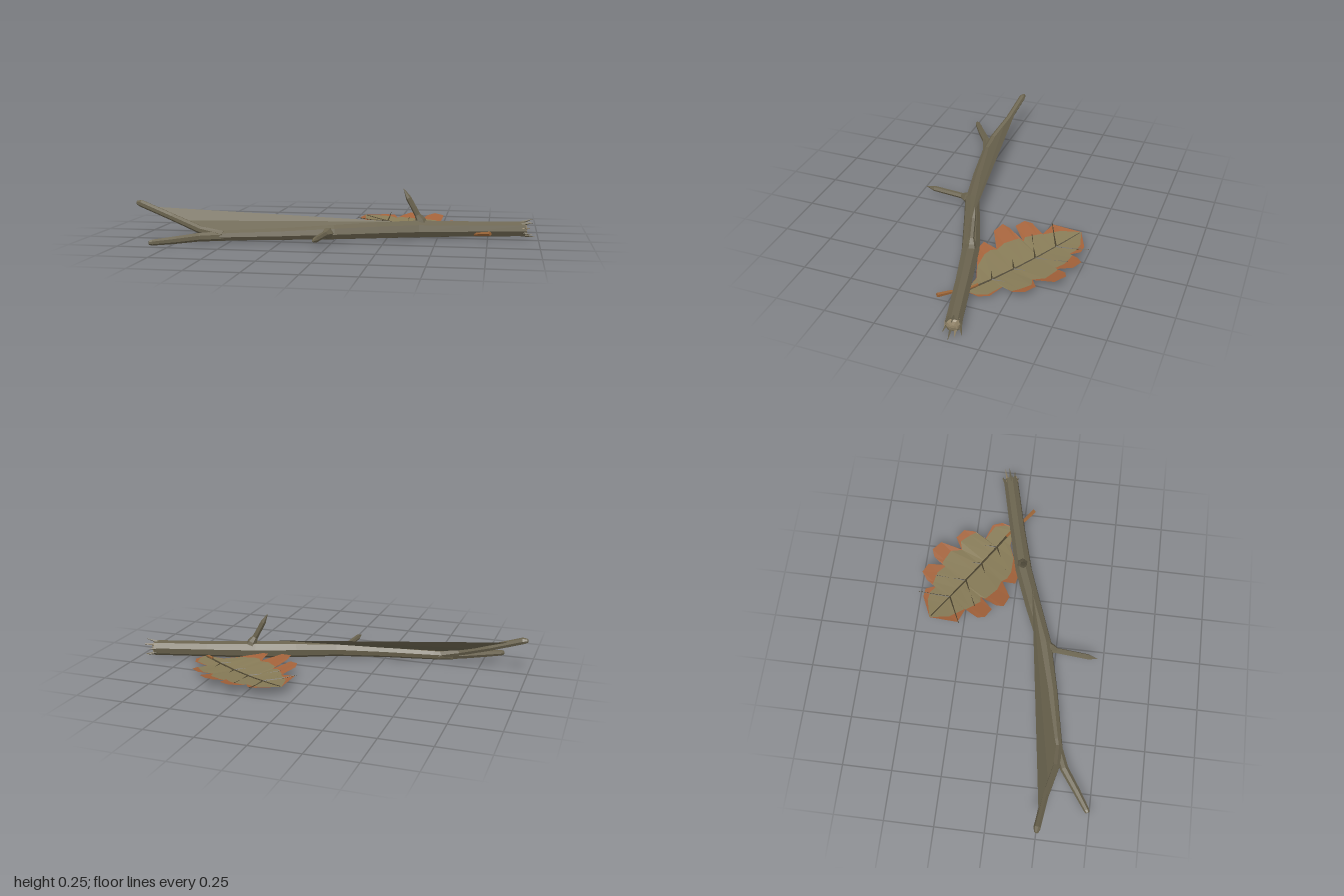
import * as THREE from 'three';

const mat = (name, color, side = THREE.FrontSide) => {
  const m = new THREE.MeshStandardMaterial({ color, side });
  m.name = name;
  return m;
};
const V = (p) => new THREE.Vector3(...p);

// faceted geometry from a list of triangles, three points each
function facets(points) {
  const g = new THREE.BufferGeometry().setFromPoints(points);
  g.computeVertexNormals();
  return g;
}

// faceted limb: stations are [x, y, z, radius]; caps close both ends
function limb(stations, sides = 7, roll = 0) {
  const c = stations.map((s) => V(s.slice(0, 3)));
  const last = c.length - 1;
  const span = c[last].clone().sub(c[0]).normalize();
  const ref = Math.abs(span.y) > 0.7 ? V([0, 0, 1]) : V([0, 1, 0]);
  const rings = c.map((p, i) => {
    const t = c[Math.min(i + 1, last)].clone().sub(c[Math.max(i - 1, 0)]).normalize();
    const side = t.clone().cross(ref).normalize();
    const up = t.clone().cross(side);
    return Array.from({ length: sides }, (_, j) => {
      const a = (j / sides) * Math.PI * 2 + roll;
      return p.clone().addScaledVector(side, Math.cos(a) * stations[i][3])
        .addScaledVector(up, Math.sin(a) * stations[i][3]);
    });
  });
  const tris = [];
  for (let j = 0; j < sides; j++) {
    const k = (j + 1) % sides;
    for (let i = 0; i < last; i++) {
      const [a, b] = [rings[i], rings[i + 1]];
      tris.push(a[j], a[k], b[j], a[k], b[k], b[j]);
    }
    tris.push(c[0], rings[0][k], rings[0][j], c[last], rings[last][j], rings[last][k]);
  }
  return facets(tris);
}

export function createModel() {
  const model = new THREE.Group();
  model.name = 'fallenBranch';
  const bark = mat('bark', 0x6a634e);
  const web = mat('barkSheet', 0x6a634e, THREE.DoubleSide);
  const wood = mat('brokenWood', 0x94866a);
  const tan = mat('leafTan', 0x877b57, THREE.DoubleSide);
  const rust = mat('leafRust', 0xa3623a, THREE.DoubleSide);
  const stalk = mat('leafStalk', 0x9a6437);
  const vein = mat('leafVein', 0x4c4430);
  const add = (name, geometry, material, parent = model) => {
    const m = new THREE.Mesh(geometry, material);
    m.name = name;
    parent.add(m);
    return m;
  };

  // main limb and its fork
  add('trunk', limb([
    [-0.6, 0.036, 0.328, 0.022], [-0.5, 0.04, 0.302, 0.027], [-0.25, 0.045, 0.25, 0.031],
    [0, 0.051, 0.185, 0.038], [0.2, 0.053, 0.105, 0.043], [0.4, 0.053, 0.03, 0.045],
    [0.65, 0.05, -0.035, 0.041], [0.93, 0.047, -0.103, 0.04]], 8, 0.2), bark);
  add('frontFork', limb([
    [-0.52, 0.037, 0.305, 0.024], [-0.64, 0.036, 0.355, 0.022],
    [-0.74, 0.03, 0.425, 0.019], [-0.83, 0.026, 0.485, 0.015], [-0.842, 0.026, 0.492, 0.01]], 7), bark);
  add('raisedFork', limb([
    [-0.53, 0.04, 0.312, 0.024], [-0.64, 0.065, 0.312, 0.02], [-0.8, 0.12, 0.275, 0.018],
    [-0.97, 0.182, 0.252, 0.018], [-0.992, 0.186, 0.25, 0.01]], 7), bark);

  // thin sheet spanning the raised fork and the trunk
  const apex = V([0.3, 0.096, 0.085]);
  const edge = [[-0.89, 0.165, 0.25], [-0.75, 0.105, 0.285], [-0.57, 0.055, 0.318],
    [-0.25, 0.065, 0.25], [0, 0.08, 0.18]].map(V);
  add('barkSheet', facets(edge.slice(1).flatMap((p, i) => [apex, edge[i], p])), web);

  // short pointed twigs
  add('uprightTwig', limb([
    [0.425, 0.07, 0.02, 0.032], [0.415, 0.1, 0.022, 0.025], [0.4, 0.125, 0.026, 0.015],
    [0.355, 0.21, 0.032, 0.014], [0.33, 0.257, 0.032, 0.001]], 6), bark);
  add('frontTwig', limb([
    [-0.015, 0.05, 0.18, 0.034], [-0.025, 0.05, 0.225, 0.028], [-0.032, 0.05, 0.255, 0.015],
    [-0.047, 0.05, 0.42, 0.014], [-0.052, 0.05, 0.467, 0.001]], 6), bark);

  // broken end: pale core and a ring of splinters
  const along = V([0.97, -0.01, -0.235]).normalize();
  const across = V([0.235, 0, 0.97]).normalize();
  const end = V([0.925, 0.047, -0.102]);
  const at = (a, r, d) => end.clone().addScaledVector(along, d)
    .addScaledVector(across, Math.cos(a) * r).add(V([0, Math.sin(a) * r, 0])).toArray();
  add('brokenCore', limb([[...at(0, 0, 0), 0.037], [...at(0, 0, 0.014), 0.027],
    [...at(0, 0, 0.02), 0.008]], 8, 0.2), wood);
  for (let i = 0; i < 9; i++) {
    const a = i * 0.698 + 0.2;
    add('splinter', limb([[...at(a, 0.032, -0.012), 0.008],
      [...at(a, 0.035 + 0.008 * (i % 3), 0.03 + 0.011 * (i % 4)), 0.0006]], 4), i % 3 ? bark : wood);
  }

  // lobed leaf, laid out by distance t along and s across its midrib
  const leaf = new THREE.Group();
  leaf.name = 'leaf';
  model.add(leaf);
  const [bx, bz, dx, dz] = [0.66, -0.05, -0.841, -0.541];
  const place = ([t, s], lift = 0) => V([bx + dx * t - dz * s,
    0.012 + lift + 0.75 * s * s + 0.13 * (t - 0.15) ** 2, bz + dz * t + dx * s]);
  const toLeaf = ([x, z]) => [(x - bx) * dx + (z - bz) * dz, -(x - bx) * dz + (z - bz) * dx];
  const backEdge = [[0.66, -0.05], [0.68, -0.12], [0.66, -0.17], [0.575, -0.2], [0.605, -0.26],
    [0.6, -0.32], [0.55, -0.355], [0.49, -0.32], [0.505, -0.43], [0.455, -0.47], [0.415, -0.455],
    [0.385, -0.39], [0.37, -0.48], [0.32, -0.505], [0.28, -0.475], [0.255, -0.425],
    [0.23, -0.475], [0.185, -0.48], [0.07, -0.43]];
  const frontEdge = [[0.66, -0.05], [0.55, -0.06], [0.47, -0.03], [0.36, 0.005], [0.315, -0.005],
    [0.325, -0.075], [0.23, -0.025], [0.17, -0.05], [0.175, -0.09], [0.22, -0.175], [0.15, -0.11],
    [0.1, -0.14], [0.095, -0.18], [0.14, -0.25], [0.06, -0.28], [0.07, -0.43]];
  for (const outline of [backEdge, frontEdge]) {
    const outer = outline.map(toLeaf);
    const inner = outer.map(([t, s]) => {
      const limit = 0.02 + 0.15 * Math.sin(Math.PI * Math.min(1, Math.max(0, t / 0.74)) ** 0.8);
      return [t, Math.sign(s) * Math.min(Math.abs(s) * 0.96, limit)];
    });
    const strip = (a, b) => facets(a.slice(1).flatMap((_, i) => [a[i], a[i + 1], b[i],
      a[i + 1], b[i + 1], b[i]].map((p) => place(p))));
    add('leafRim', strip(outer, inner), rust, leaf);
    add('leafBlade', strip(inner, inner.map(([t]) => [t, 0])), tan, leaf);
  }

  // midrib, side veins and stalk
  const rib = (name, pts, r) => add(name, limb(pts.map((p, i) =>
    [...place(p, 0.001).toArray(), r * (1 - 0.6 * i / (pts.length - 1))]), 4), vein, leaf);
  rib('midrib', [0, 0.15, 0.3, 0.45, 0.6, 0.69].map((t) => [t, 0]), 0.006);
  for (const t of [0.15, 0.28, 0.41, 0.54]) {
    for (const side of [-1, 1]) {
      rib('sideVein', [0, 0.5, 1].map((k) => [t + 0.09 * k, side * 0.14 * k]), 0.004);
    }
  }
  add('leafStalk', limb([[0.6, 0.02, -0.088, 0.007], [0.66, 0.018, -0.045, 0.009],
    [0.71, 0.032, 0.005, 0.009], [0.763, 0.042, 0.047, 0.011]], 5), stalk, leaf);

  return model;
}
